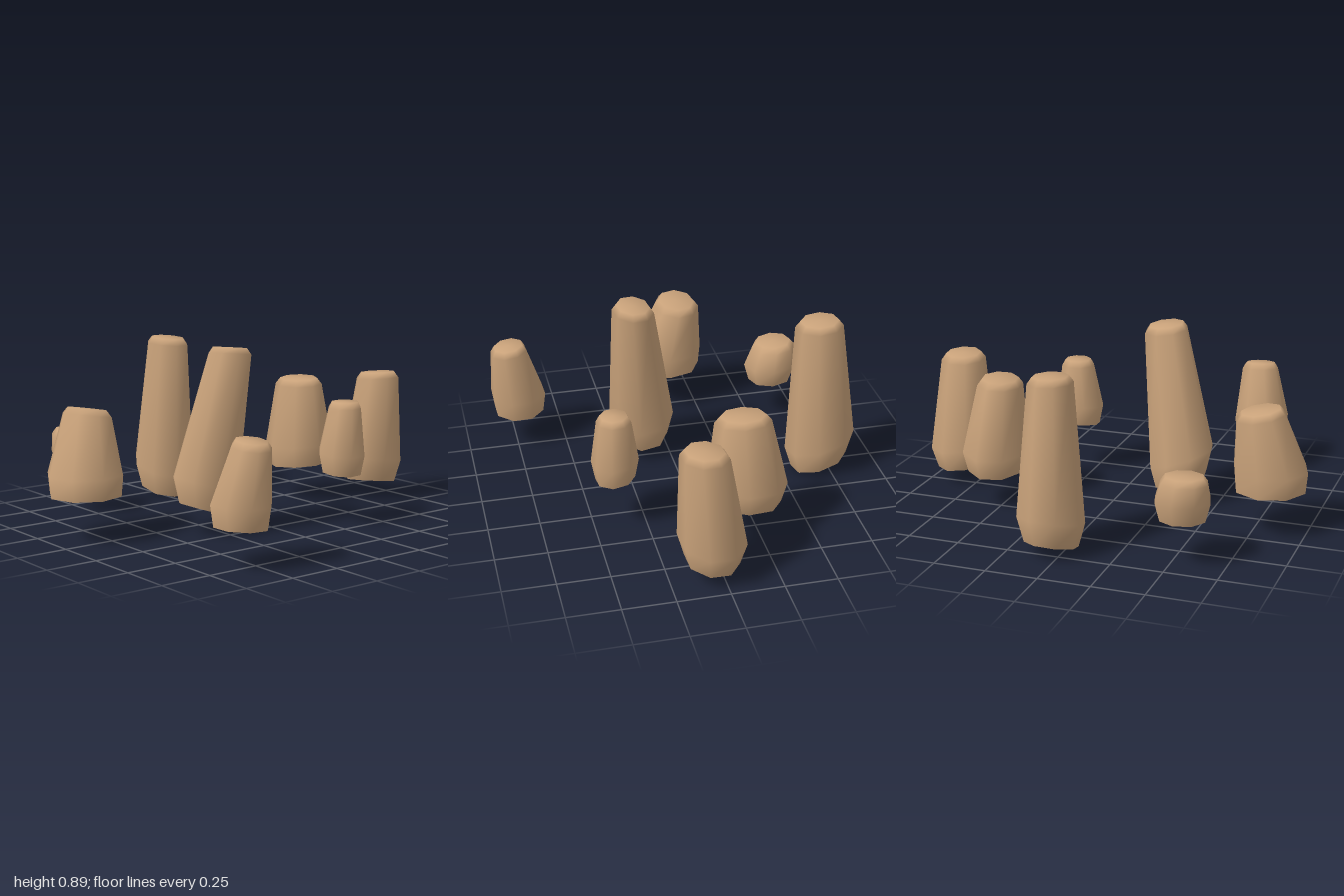
import * as THREE from 'three';

const SIDES = 8;

// Each stone: wide-ring centre w and radii r, upper-ring centre t and radii q,
// bottom and top heights y, [x, z] slopes of the bottom and top rims,
// ratio of bottom rim to widest ring, and rotation of the octagon.
const STONES = [
  { name: 'tallBackStone', w: [0.05, -0.705], r: [0.15, 0.168], t: [0.057, -0.675], q: [0.1, 0.115], y: [0.04, 0.83], b: [0.05, -0.28], s: [-0.03, -0.05], k: 0.8, a: 0.25 },
  { name: 'tallLeaningStone', w: [-0.31, 0.135], r: [0.155, 0.158], t: [-0.205, 0.19], q: [0.105, 0.1], y: [0.11, 0.88], b: [-0.34, 0], s: [-0.12, 0.08], k: 0.82, a: 0.2 },
  { name: 'broadRightStone', w: [-0.82, -0.11], r: [0.178, 0.178], t: [-0.775, -0.155], q: [0.115, 0.115], y: [0.21, 0.605], b: [0, 0], s: [-0.17, 0.05], k: 0.95, a: 0.1 },
  { name: 'frontRightStone', w: [-0.565, 0.73], r: [0.135, 0.138], t: [-0.54, 0.77], q: [0.09, 0.09], y: [0.18, 0.562], b: [-0.06, 0], s: [-0.03, -0.12], k: 0.9, a: 0.35 },
  { name: 'shortBackStone', w: [-0.545, -0.615], r: [0.13, 0.135], t: [-0.555, -0.63], q: [0.11, 0.11], y: [0.21, 0.42], b: [0, -0.05], s: [0, -0.06], k: 0.82, a: 0.1 },
  { name: 'smallFrontStone', w: [0.322, 0.392], r: [0.117, 0.11], t: [0.335, 0.395], q: [0.08, 0.08], y: [0.255, 0.597], b: [0, -0.12], s: [0, 0], k: 0.84, a: 0.3 },
  { name: 'middleLeftStone', w: [0.545, -0.19], r: [0.155, 0.188], t: [0.525, -0.17], q: [0.105, 0.13], y: [0.178, 0.633], b: [0.05, 0.08], s: [0.07, 0], k: 0.85, a: 0.15 },
  { name: 'farLeftStone', w: [0.838, 0.05], r: [0.16, 0.155], t: [0.84, 0.088], q: [0.108, 0.11], y: [0.09, 0.665], b: [-0.13, 0.1], s: [0, 0.07], k: 0.8, a: 0.3 },
];

// Tapered octagonal stone: open base, bulge near the foot, bevelled top
function stoneGeometry({ w, r, t, q, y, b, s, k, a }) {
  const h = y[1] - y[0];
  const foot = 0.08 + 0.05 * h;
  const rings = [
    { c: w, r: [r[0] * k, r[1] * k], y: y[0], slope: b },
    { c: w, r, y: y[0] + foot, slope: b },
    { c: t, r: q, y: y[1] - 0.03, slope: s },
    { c: t, r: [q[0] * 0.8, q[1] * 0.8], y: y[1], slope: s },
  ];
  const pos = [], index = [];
  for (const ring of rings) {
    for (let i = 0; i < SIDES; i++) {
      const angle = a + (i / SIDES) * Math.PI * 2;
      const dx = Math.cos(angle) * ring.r[0] * 1.03;
      const dz = Math.sin(angle) * ring.r[1] * 1.03;
      pos.push(ring.c[0] + dx, ring.y + ring.slope[0] * dx + ring.slope[1] * dz, ring.c[1] + dz);
    }
  }
  for (let j = 0; j < rings.length - 1; j++) {
    for (let i = 0; i < SIDES; i++) {
      const n = (i + 1) % SIDES;
      const p0 = j * SIDES + i, p1 = j * SIDES + n;
      index.push(p0, p0 + SIDES, p1, p1, p0 + SIDES, p1 + SIDES);
    }
  }
  // top cap
  const top = (rings.length - 1) * SIDES, centre = pos.length / 3;
  pos.push(t[0], y[1], t[1]);
  for (let i = 0; i < SIDES; i++) index.push(top + i, centre, top + ((i + 1) % SIDES));

  const g = new THREE.BufferGeometry();
  g.setAttribute('position', new THREE.Float32BufferAttribute(pos, 3));
  g.setIndex(index);
  g.computeVertexNormals();
  return g;
}

export function createModel() {
  const group = new THREE.Group();
  group.name = 'standingStones';
  const tan = new THREE.MeshStandardMaterial({ color: 0xc9a27a, side: THREE.DoubleSide });
  tan.name = 'tanStone';
  for (const stone of STONES) {
    const mesh = new THREE.Mesh(stoneGeometry(stone), tan);
    mesh.name = stone.name;
    group.add(mesh);
  }
  return group;
}
